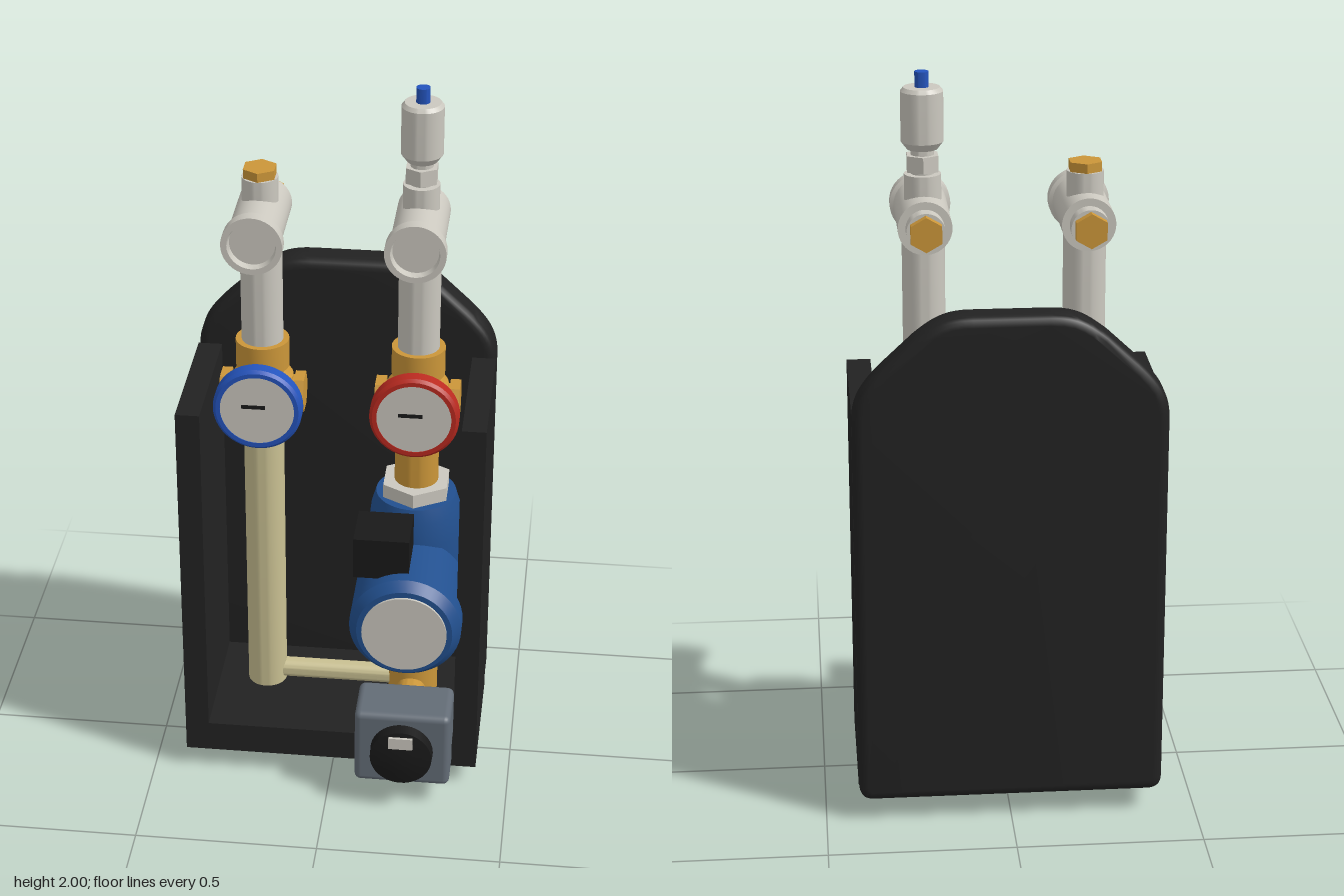
import * as THREE from 'three';
import { toCreasedNormals } from 'three/addons/utils/BufferGeometryUtils.js';
import { RoundedBoxGeometry } from 'three/addons/geometries/RoundedBoxGeometry.js';

const mat = (name, color) => {
  const m = new THREE.MeshStandardMaterial({ color });
  m.name = name;
  return m;
};

export function createModel() {
  const black = mat('black foam', 0x222222);
  const steel = mat('pale nickel', 0xcbc8bf);
  const brass = mat('brass', 0xcb9639);
  const bronze = mat('dark brass', 0x8a6224);
  const cream = mat('cream pipe', 0xc9c092);
  const pumpBlue = mat('pump blue', 0x22508f);
  const brightBlue = mat('bright blue', 0x2454bd);
  const red = mat('red', 0xbb2a20);
  const grey = mat('slate grey', 0x636c76);
  const dark = mat('soft black', 0x191919);

  const model = new THREE.Group();
  const X = 0.21, Z = -0.08;

  function add(name, geo, material, x = 0, y = 0, z = 0, parent = model) {
    const mesh = new THREE.Mesh(geo, material);
    mesh.name = name;
    mesh.position.set(x, y, z);
    parent.add(mesh);
    return mesh;
  }
  // turned solid from [radius, height] pairs; axis 'y', 'z' or 'x'
  function turned(profile, axis = 'y', sides = 40) {
    const pts = profile.map(([r, h]) => new THREE.Vector2(r, h));
    const geo = new THREE.LatheGeometry(pts, sides);
    if (axis === 'z') geo.rotateX(Math.PI / 2);
    if (axis === 'x') geo.rotateZ(-Math.PI / 2);
    return toCreasedNormals(geo, 0.6);
  }
  const rod = (r, a, b, axis = 'y', sides = 40) =>
    turned([[0, a], [r, a], [r, b], [0, b]], axis, sides);
  const box = (w, h, d) => new THREE.BoxGeometry(w, h, d);

  // rounded insulation back shell
  const s = new THREE.Shape();
  s.moveTo(-0.37, 0.06);
  s.lineTo(0.37, 0.06);
  s.quadraticCurveTo(0.41, 0.06, 0.41, 0.1);
  s.lineTo(0.41, 1.13);
  s.bezierCurveTo(0.41, 1.2, 0.38, 1.235, 0.33, 1.285);
  s.lineTo(0.25, 1.36);
  s.bezierCurveTo(0.2, 1.4, 0.17, 1.42, 0.1, 1.42);
  s.lineTo(-0.1, 1.42);
  s.bezierCurveTo(-0.17, 1.42, -0.2, 1.4, -0.25, 1.36);
  s.lineTo(-0.33, 1.285);
  s.bezierCurveTo(-0.38, 1.235, -0.41, 1.2, -0.41, 1.13);
  s.lineTo(-0.41, 0.1);
  s.quadraticCurveTo(-0.41, 0.06, -0.37, 0.06);
  const shell = new THREE.ExtrudeGeometry(s, {
    depth: 0.05, bevelSize: 0.025, bevelThickness: 0.025, bevelOffset: -0.025,
    bevelSegments: 4, curveSegments: 10,
  });
  add('backShell', toCreasedNormals(shell, 0.6), black, 0, 0, -0.305);

  // side walls and floor
  for (const side of [-1, 1]) {
    add(side < 0 ? 'rightWall' : 'leftWall', box(0.065, 1.09, 0.4), black, side * 0.3775, 0.605, -0.03);
  }
  add('floor', box(0.69, 0.09, 0.4), black, 0, 0.105, -0.03);

  // shared fittings of both columns
  for (const side of [-1, 1]) {
    const col = new THREE.Group();
    col.name = side < 0 ? 'returnColumn' : 'flowColumn';
    col.position.set(side * X, 0, Z);
    model.add(col);
    const put = (name, geo, m, y = 0, z = 0) => add(name, geo, m, 0, y, z, col);

    put('bottomStub', rod(0.078, 0, 0.07), bronze);
    put('ballValve', turned([
      [0, 0.97], [0.08, 0.97], [0.08, 1.0], [0.065, 1.01], [0.082, 1.05], [0.088, 1.1],
      [0.082, 1.15], [0.062, 1.17], [0.072, 1.18], [0.072, 1.26], [0, 1.26],
    ]), brass);
    for (const e of [-1, 1]) {
      const nut = put('sideNut', rod(0.056, -0.014, 0.014, 'x', 6), brass, 1.1);
      nut.position.x = e * 0.1;
    }
    put('sideSpindle', rod(0.045, -0.095, 0.095, 'x'), brass, 1.1);
    put('gaugeStem', rod(0.03, 0, 0.09, 'z'), brass, 1.1);

    // thermometer dial
    put('gaugeRim', turned([
      [0, 0.08], [0.11, 0.08], [0.12, 0.087], [0.12, 0.12], [0.112, 0.128], [0.1, 0.128], [0.1, 0.122], [0, 0.122],
    ], 'z', 48), side < 0 ? brightBlue : red, 1.105);
    put('gaugeFace', rod(0.1, 0.121, 0.126, 'z', 48), steel, 1.105);
    const needle = put('gaugeNeedle', box(0.065, 0.01, 0.004), dark, 1.115, 0.127);
    needle.position.x = -0.01;

    // riser and horizontal tee with recessed front socket
    put('riser', rod(0.056, 1.25, 1.6), steel);
    put('tee', turned([
      [0, -0.14], [0.05, -0.14], [0.05, -0.1], [0.07, -0.1], [0.07, 0.135], [0.08, 0.14],
      [0.08, 0.175], [0.064, 0.175], [0.06, 0.155], [0, 0.155],
    ], 'z'), steel, 1.615);
    put('teePlug', rod(0.046, -0.164, -0.138, 'z', 6), brass, 1.615);
    put('teeBranch', rod(0.048, 1.65, 1.735), steel);
  }

  // return column
  add('returnPipe', rod(0.055, 0.14, 0.98), cream, -X, 0, Z);
  add('topPlug', rod(0.047, 1.73, 1.76, 'y', 6), brass, -X, 0, Z);
  add('bypassPipe', rod(0.028, -0.18, 0.18, 'x'), cream, 0, 0.185, Z);

  // automatic air vent
  add('ventNeck', rod(0.03, 1.73, 1.82), steel, X, 0, Z);
  add('ventNut', rod(0.046, 1.742, 1.785, 'y', 6), steel, X, 0, Z);
  add('ventBody', turned([
    [0, 1.8], [0.04, 1.8], [0.055, 1.82], [0.055, 1.95], [0.047, 1.96], [0, 1.96],
  ]), steel, X, 0, Z);
  add('ventCap', rod(0.018, 1.96, 2.0), brightBlue, X, 0, Z);

  // circulator pump
  add('pumpTopPipe', rod(0.06, 0.84, 0.98), brass, X, 0, Z);
  add('upperUnion', rod(0.1, 0.805, 0.85, 'y', 6), steel, X, 0, Z);
  add('lowerUnion', rod(0.1, 0.265, 0.31, 'y', 6), steel, X, 0, Z);
  add('pumpVolute', turned([
    [0, 0.305], [0.1, 0.305], [0.115, 0.35], [0.127, 0.42], [0.132, 0.56],
    [0.13, 0.7], [0.122, 0.77], [0.11, 0.81], [0, 0.81],
  ]), pumpBlue, X, 0, Z);
  add('pumpMotor', turned([
    [0, -0.09], [0.12, -0.09], [0.12, 0.02], [0.152, 0.02], [0.152, 0.225], [0.13, 0.253], [0, 0.257],
  ], 'z', 48), pumpBlue, X, 0.56, 0);
  add('pumpFace', rod(0.115, 0.254, 0.261, 'z', 48), steel, X, 0.56, 0);
  add('terminalBox', box(0.15, 0.12, 0.145), dark, 0.14, 0.75, 0.12);

  // mixing valve with actuator and knob
  add('mixingValve', rod(0.07, 0.14, 0.28), brass, X, 0, Z);
  add('actuatorStem', rod(0.04, -0.08, 0.14, 'z'), brass, X, 0.18, 0);
  add('actuator', new RoundedBoxGeometry(0.264, 0.23, 0.16, 3, 0.018), grey, X, 0.18, 0.193);
  add('knob', turned([
    [0, 0.26], [0.087, 0.26], [0.085, 0.308], [0.05, 0.315], [0, 0.319],
  ], 'z'), dark, X, 0.18, 0);
  add('knobMark', box(0.066, 0.035, 0.008), steel, X, 0.237, 0.318);

  return model;
}
